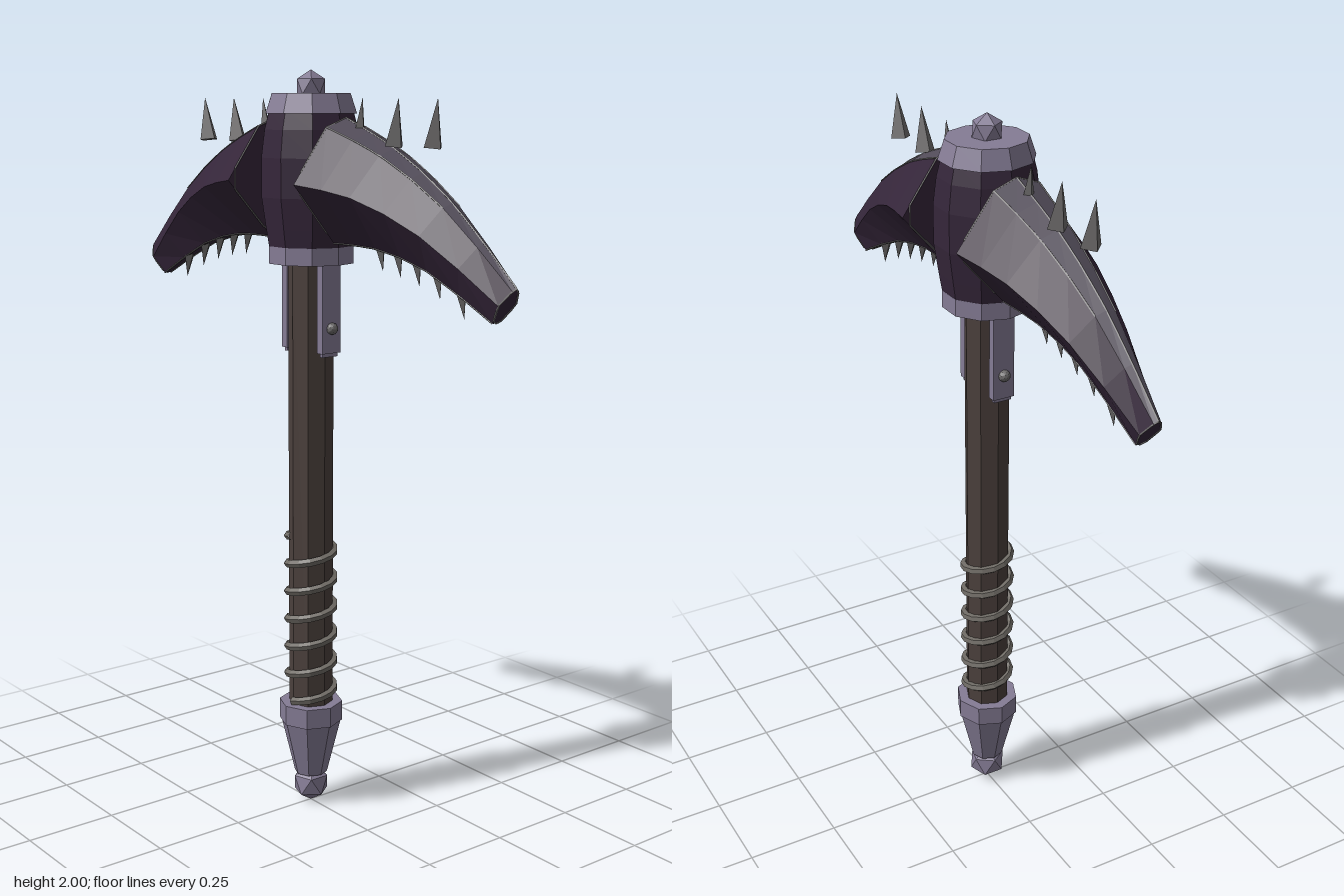
import * as THREE from 'three';

const mat = (name, color, side = THREE.FrontSide) => {
  const m = new THREE.MeshStandardMaterial({ color, flatShading: true, side });
  m.name = name;
  return m;
};

export function createModel() {
  const darkIron = mat('dark iron', 0x35263a);
  const ridgeIron = mat('ridge iron', 0x524c59);
  const steel = mat('pale steel', 0x857c95);
  const wood = mat('dark wood', 0x4b403c);
  const cord = mat('cord', 0x6f6b65);
  const spikeMetal = mat('spike metal', 0x6c6a6a);
  const root = new THREE.Group();
  root.name = 'pickaxe';

  const add = (parent, name, geo, material, x = 0, y = 0, z = 0) => {
    const mesh = new THREE.Mesh(geo, material);
    mesh.name = name;
    mesh.position.set(x, y, z);
    parent.add(mesh);
    return mesh;
  };
  // faceted turned part from [radius, y] pairs, listed bottom to top
  const turned = (name, profile, sides, material) => {
    const geo = new THREE.LatheGeometry(profile.map(p => new THREE.Vector2(...p)), sides);
    geo.rotateY(Math.PI / 2);
    return add(root, name, geo, material);
  };
  // faceted knob standing on one vertex
  const knob = (name, r, y) =>
    add(root, name, new THREE.IcosahedronGeometry(r, 0).rotateZ(Math.atan(0.618)), steel, 0, y);

  // handle
  turned('shaft', [[0, 0.28], [0.06, 0.28], [0.06, 1.56], [0, 1.56]], 8, wood);
  turned('pommel', [[0, 0.09], [0.045, 0.09], [0.083, 0.245], [0.087, 0.245], [0.087, 0.3], [0, 0.3]], 8, steel);
  knob('pommelKnob', 0.053, 0.056);

  // spiral cord around the grip
  const turns = 6, helix = [];
  for (let i = 0; i <= turns * 12; i++) {
    const a = i / 12 * Math.PI * 2;
    helix.push(new THREE.Vector3(Math.sin(a) * 0.064, 0.31 + 0.47 * i / (turns * 12), Math.cos(a) * 0.064));
  }
  add(root, 'gripCord', new THREE.TubeGeometry(new THREE.CatmullRomCurve3(helix), turns * 14, 0.011, 5), cord);

  // head core, collar and cap
  turned('headCore', [[0, 1.54], [0.112, 1.54], [0.122, 1.6], [0.134, 1.68], [0.134, 1.78], [0.125, 1.85], [0.112, 1.9], [0, 1.9]], 10, darkIron);
  turned('collar', [[0, 1.51], [0.115, 1.51], [0.115, 1.555], [0, 1.555]], 10, steel);
  turned('topCap', [[0, 1.89], [0.122, 1.89], [0.105, 1.94], [0, 1.94]], 10, steel);
  knob('finial', 0.042, 1.957);

  // straps with rivets
  for (const s of [-1, 1]) {
    add(root, 'strap', new THREE.BoxGeometry(0.022, 0.24, 0.06), steel, s * 0.076, 1.4);
    add(root, 'strapEnd', new THREE.BoxGeometry(0.012, 0.012, 0.05), steel, s * 0.076, 1.276);
    add(root, 'rivet', new THREE.IcosahedronGeometry(0.016, 1), spikeMetal, s * 0.09, 1.345);
  }

  // blade: cross-sections swept along three guide curves
  const guide = pts => new THREE.CatmullRomCurve3(pts.map(p => new THREE.Vector3(p[0], p[1], 0)));
  const top = guide([[0.143, 1.88], [0.33, 1.81], [0.54, 1.69], [0.757, 1.51]]);
  const mid = guide([[0.14, 1.72], [0.31, 1.695], [0.51, 1.615], [0.727, 1.47]]);
  const bottom = guide([[0.133, 1.57], [0.29, 1.567], [0.47, 1.527], [0.692, 1.425]]);
  const N = 6, rings = [];
  for (let i = 0; i <= N; i++) {
    const t = i / N, T = top.getPoint(t), M = mid.getPoint(t), B = bottom.getPoint(t);
    const w = 0.162 - 0.228 * (M.x - 0.14), sw = 0.062 - 0.052 * t, bw = 0.03 - 0.02 * t;
    const S = T.clone().lerp(M, 0.14);
    const at = (p, z) => new THREE.Vector3(p.x, p.y, z);
    rings.push([at(T, 0), at(S, sw), at(M, w), at(B, bw), at(B, -bw), at(M, -w), at(S, -sw)]);
  }
  const bladeGeometry = (sides, caps) => {
    const v = [];
    const tri = (...p) => p.forEach(q => v.push(q.x, q.y, q.z));
    for (let i = 0; i < N; i++) for (const k of sides) {
      const a = rings[i][k], b = rings[i][(k + 1) % 7], c = rings[i + 1][(k + 1) % 7], d = rings[i + 1][k];
      tri(a, b, c);
      tri(a, c, d);
    }
    if (caps) for (let k = 1; k < 6; k++) {
      tri(rings[0][0], rings[0][k + 1], rings[0][k]);
      tri(rings[N][0], rings[N][k], rings[N][k + 1]);
    }
    const geo = new THREE.BufferGeometry();
    geo.setAttribute('position', new THREE.Float32BufferAttribute(v, 3));
    geo.computeVertexNormals();
    return geo;
  };
  const line = pts => {
    const path = new THREE.CurvePath();
    for (let i = 1; i < pts.length; i++) path.add(new THREE.LineCurve3(pts[i - 1], pts[i]));
    return new THREE.TubeGeometry(path, (pts.length - 1) * 2, 0.0025, 4);
  };

  for (const s of [1, -1]) {
    const blade = new THREE.Group();
    blade.name = s > 0 ? 'leftBlade' : 'rightBlade';
    blade.rotation.y = s > 0 ? 0 : Math.PI;
    root.add(blade);
    add(blade, 'bladeBody', bladeGeometry([1, 2, 3, 4, 5], true), darkIron);
    add(blade, 'bladeRidge', bladeGeometry([0, 6], false), ridgeIron);

    // thin worn edges
    add(blade, 'ridgeEdge', line(rings.map(r => r[0])), spikeMetal);
    for (const k of [3, 4]) add(blade, 'lowerEdge', line(rings.map(r => r[k])), spikeMetal);
    for (const k of [1, 6]) add(blade, 'shoulderEdge', line(rings.slice(0, 5).map(r => r[k])), spikeMetal);
    for (const r of [rings[0], rings[N]]) add(blade, 'endEdge', line([...r, r[0]]), spikeMetal);

    // upper spikes
    [[0.2, 0.022], [0.335, 0.028], [0.475, 0.028]].forEach(([x, r]) => {
      const spike = add(blade, 'upperSpike', new THREE.ConeGeometry(r, 0.115, 4), spikeMetal, x, 1.872, 0);
      spike.rotation.z = -0.14;
    });
    // lower teeth
    for (let i = 0; i < 5; i++) {
      const p = bottom.getPoint(0.32 + i * 0.128);
      const tooth = add(blade, 'lowerTooth', new THREE.ConeGeometry(0.02, 0.08, 4), spikeMetal, p.x, p.y - 0.018, 0);
      tooth.rotation.z = Math.PI + 0.2;
    }
  }
  return root;
}
